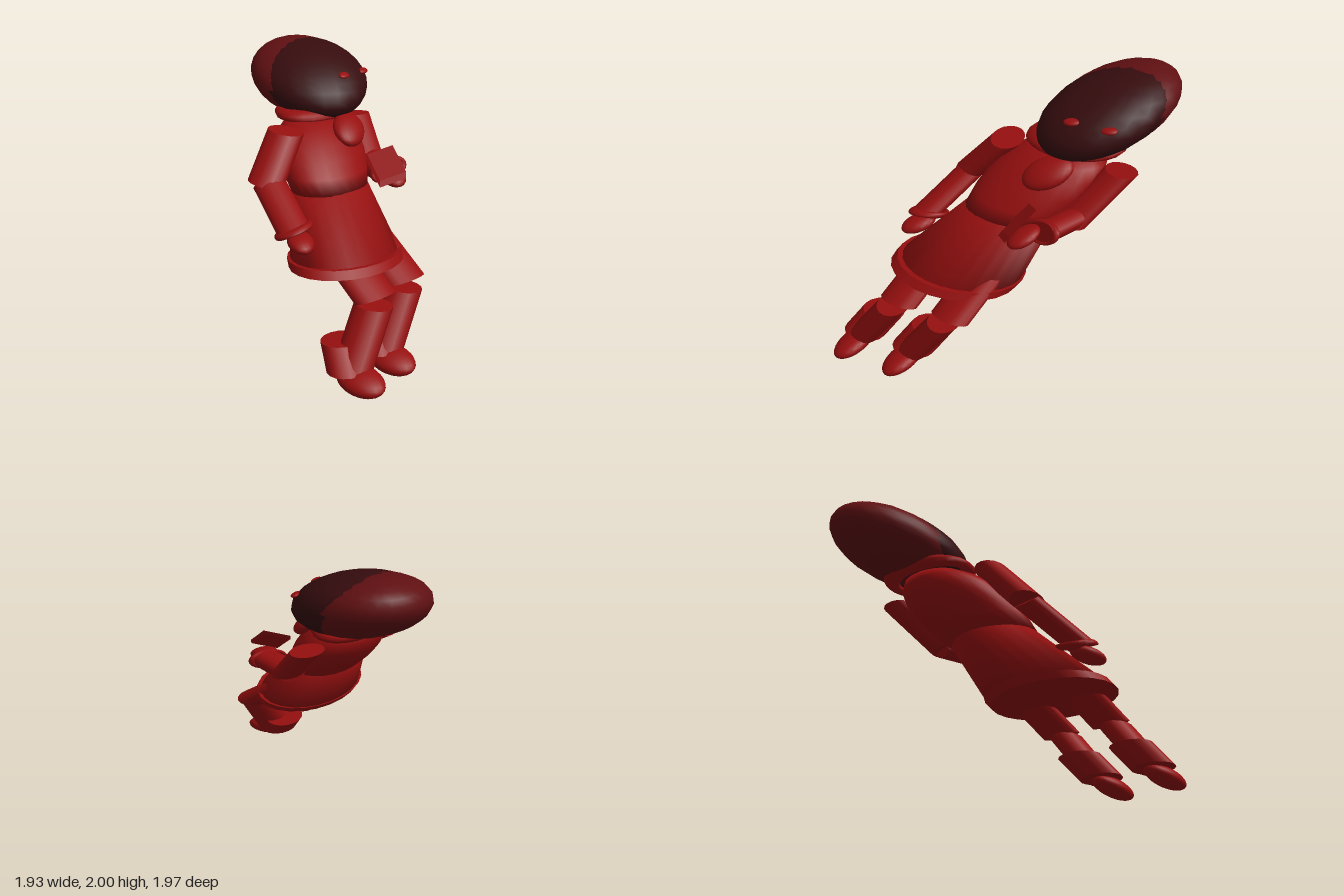
import * as THREE from 'three';

// The whole figure faces +x and leans: x and z slide back as y rises.
const LEAN_X = -0.74, LEAN_Z = -0.69;
const V = (a) => new THREE.Vector3(...a);

export function createModel() {
  const model = new THREE.Group();
  const mat = (name, color) => {
    const m = new THREE.MeshStandardMaterial({ color });
    m.name = name;
    return m;
  };
  const red = mat('clothing red', 0x960f0f);
  const hairMat = mat('hair dark red', 0x601012);
  const faceMat = mat('face maroon', 0x360c0e);

  // Map a unit geometry onto three axes at a centre (allows slanted shapes)
  function place(name, geo, c, u, axis, v, material = red) {
    const U = V(u), A = V(axis), W = V(v);
    if (U.dot(A.clone().cross(W)) < 0) W.negate();
    geo.applyMatrix4(new THREE.Matrix4().makeBasis(U, A, W).setPosition(V(c)));
    const mesh = new THREE.Mesh(geo, material);
    mesh.name = name;
    model.add(mesh);
    return mesh;
  }
  const lean = (name, geo, c, [rx, ry, rz], material) =>
    place(name, geo, c, [rx, 0, 0], [LEAN_X * ry, ry, LEAN_Z * ry], [0, 0, rz], material);
  const ball = (name, c, r, material) =>
    lean(name, new THREE.SphereGeometry(1, 22, 14), c, r, material);
  function limb(name, p, q, u, v, rTop = 1) {
    const mid = V(p).add(V(q)).multiplyScalar(0.5).toArray();
    const axis = V(q).sub(V(p)).toArray();
    return place(name, new THREE.CylinderGeometry(rTop, 1, 1, 16), mid, u, axis, v);
  }

  // Head and hair: overlapping ellipsoids
  ball('face', [-0.445, 1.727, -0.53], [0.41, 0.267, 0.4], faceMat);
  ball('hair', [-0.515, 1.735, -0.55], [0.41, 0.265, 0.4], hairMat);
  for (const z of [-0.425, -0.695]) ball('eye', [-0.105, 1.78, z], [0.03, 0.02, 0.055]);

  // Collar ring and chest bow
  const ring = () => new THREE.TorusGeometry(1, 0.17, 10, 24).rotateX(Math.PI / 2);
  lean('collar', ring(), [-0.335, 1.52, -0.37], [0.2, 0.22, 0.31]);
  ball('chestBow', [0.005, 1.415, -0.31], [0.09, 0.105, 0.155]);

  // Rounded torso
  const torso = [[0, 0], [1, 0], [1.1, 0.1], [1.14, 0.2], [1.1, 0.3], [0.95, 0.38], [0.7, 0.44], [0, 0.46]];
  lean('torso', new THREE.LatheGeometry(torso.map((p) => new THREE.Vector2(...p)), 24),
    [0.014, 1.05, -0.037], [0.24, 1, 0.34]);

  // Flared skirt with hem
  const skirt = [[0, 0], [1, 0], [0.71, 0.4], [0, 0.4]];
  lean('skirt', new THREE.LatheGeometry(skirt.map((p) => new THREE.Vector2(...p)), 24),
    [0.305, 0.66, 0.23], [0.34, 1, 0.47]);
  lean('skirtHem', new THREE.CylinderGeometry(1, 1, 1, 24), [0.31, 0.665, 0.235], [0.355, 0.05, 0.485]);

  // Legs: bent knees, wide trouser cuffs and rounded shoes
  for (const dz of [0, -0.41]) {
    limb('thigh', [0.69, 0.51, 0.5 + dz], [0.38, 0.73, 0.39 + dz], [0.1, 0.03, -0.05], [0, 0, 0.15]);
    limb('shin', [0.7, 0.12, 0.81 + dz], [0.7, 0.48, 0.54 + dz], [0.13, -0.015, 0], [0, 0, 0.12]);
    lean('trouserCuff', new THREE.CylinderGeometry(1, 1, 1, 16), [0.62, 0.195, 0.77 + dz], [0.13, 0.15, 0.16]);
    ball('shoe', [0.785, 0.08, 0.85 + dz], [0.168, 0.078, 0.11]);
  }

  // Left-hanging arm on the +z side
  limb('upperArm', [-0.23, 1.14, 0.4], [-0.25, 1.45, 0.12], [0.13, -0.022, 0], [0, 0, 0.12]);
  limb('forearm', [0.13, 0.89, 0.6], [-0.22, 1.145, 0.39], [0.065, 0.05, -0.02], [-0.02, 0, 0.11]);
  place('sleeveCuff', ring(), [0.11, 0.895, 0.58], [0.1, 0.04, 0], [-0.12, 0.1, -0.08], [0, -0.01, 0.125]);
  place('hand', new THREE.SphereGeometry(1, 18, 12), [0.19, 0.835, 0.62],
    [0.07, 0.025, 0], [-0.085, 0.055, -0.05], [0, 0, 0.1]);

  // Bent arm on the -z side, holding a box
  limb('upperArm', [0.07, 1.12, -0.52], [-0.21, 1.44, -0.76], [0.1, 0, -0.02], [0, 0, 0.12]);
  limb('forearm', [0.03, 1.14, -0.54], [0.3, 1.13, -0.41], [0, 0.085, -0.05], [-0.05, 0, 0.1]);
  place('sleeveCuff', ring(), [0.28, 1.13, -0.41], [0, 0.075, -0.055], [0.12, -0.01, 0.06], [-0.06, 0, 0.11]);
  place('hand', new THREE.SphereGeometry(1, 18, 12), [0.37, 1.115, -0.31],
    [0.1, -0.02, 0.04], [-0.03, 0.06, -0.04], [-0.03, 0, 0.085]);
  place('heldBox', new THREE.BoxGeometry(1, 1, 1), [0.35, 1.195, -0.25],
    [0.14, 0.06, -0.12], [0.17, -0.15, 0.11], [0.015, -0.04, 0.03]);

  return model;
}
